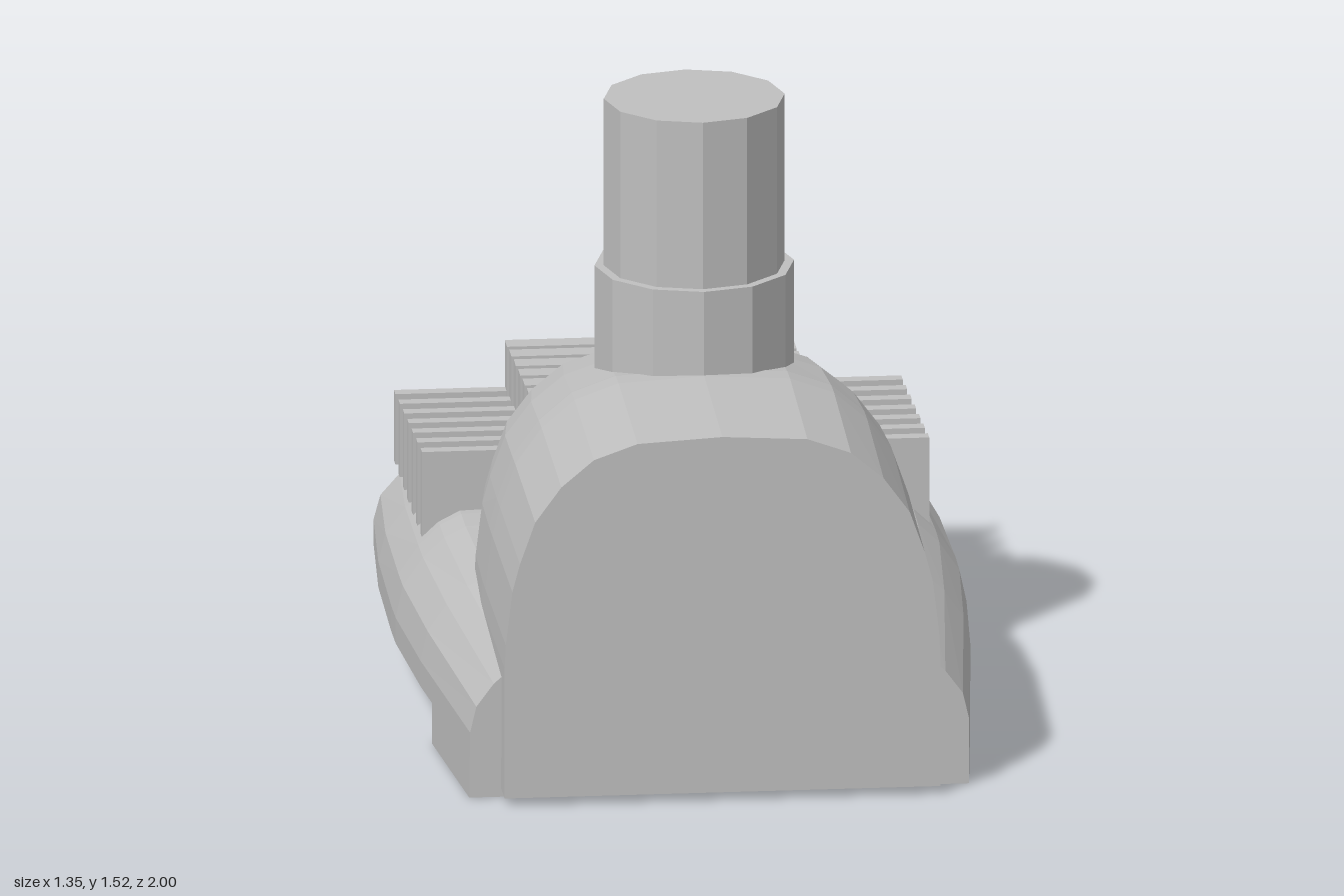
import * as THREE from 'three';

const grey = new THREE.MeshStandardMaterial({ color: 0xbfbfbf });

// Flat-faceted geometry from a list of triangle corners
function facets(points) {
  const geo = new THREE.BufferGeometry();
  geo.setAttribute('position', new THREE.Float32BufferAttribute(points.flat(), 3));
  geo.computeVertexNormals();
  return geo;
}

// Skin over closed rings ordered front to back, each counterclockwise seen from the front
function loft(rings, capBack = true) {
  const tris = [];
  const n = rings[0].length;
  const centre = (r) => {
    const ys = r.map((p) => p[1]);
    return [0, (Math.min(...ys) + Math.max(...ys)) / 2, r[0][2]];
  };
  const first = rings[0], last = rings[rings.length - 1];
  for (let j = 0; j < n; j++) {
    const k = (j + 1) % n;
    for (let i = 0; i < rings.length - 1; i++) {
      const a = rings[i], b = rings[i + 1];
      tris.push(a[j], b[j], b[k], a[j], b[k], a[k]);
    }
    tris.push(centre(first), first[j], first[k]);
    if (capBack) tris.push(centre(last), last[k], last[j]);
  }
  return facets(tris);
}

// Mirror a right-hand half profile (bottom to top centre) into a closed ring
function mirrorRing(half, z) {
  const right = half.map(([x, y]) => [x, y, z]);
  const left = half.slice(0, -1).reverse().map(([x, y]) => [-x, y, z]);
  return [...right, ...left];
}

export function createModel() {
  const model = new THREE.Group();
  const add = (name, geo, x = 0, y = 0, z = 0, parent = model) => {
    const mesh = new THREE.Mesh(geo, grey);
    mesh.name = name;
    mesh.position.set(x, y, z);
    parent.add(mesh);
    return mesh;
  };

  // Arched housing: [z, half width, top height, bottom height]
  const arch = [[1, 0.02], [0.995, 0.12], [0.965, 0.35], [0.93, 0.47], [0.86, 0.65],
    [0.74, 0.8], [0.59, 0.915], [0.39, 0.98], [0, 1]];
  const housing = [[1, 0.515, 0.895, 0.02], [0.56, 0.52, 0.91, 0.02], [0.49, 0.52, 0.907, 0.02],
    [0.48, 0.52, 0.905, 0.15], [0.27, 0.515, 0.88, 0.15], [0.095, 0.49, 0.85, 0.15],
    [-0.035, 0.425, 0.7, 0.15], [-0.11, 0.215, 0.44, 0.15]]
    .map(([z, w, top, low]) => mirrorRing(
      [[w, low], ...arch.map(([fx, t]) => [w * fx, 0.33 + t * (top - 0.33)])], z));
  add('housing', loft(housing));

  // Broad base shell: [z, half width, top height]
  const shoulder = [[1, 0], [0.975, 0.33], [0.905, 0.62], [0.83, 0.82], [0.755, 0.93], [0, 1]];
  const base = [[0.93, 0.59, 0.355], [0.35, 0.65, 0.385], [0, 0.675, 0.4], [-0.1, 0.676, 0.4],
    [-0.45, 0.672, 0.375], [-0.79, 0.65, 0.342], [-0.92, 0.565, 0.31], [-1, 0.36, 0.265]]
    .map(([z, w, top]) => mirrorRing(
      [[w, 0.1], ...shoulder.map(([fx, t]) => [w * fx, 0.163 + t * (top - 0.163)])], z));
  add('baseShell', loft(base, false));

  // Rear face with an arched slot
  const steps = 10;
  const lip = [], root = [], sill = [];
  for (let i = 0; i <= steps; i++) {
    const x = -0.33 + (0.66 * i) / steps;
    lip.push([x, 0.158 + 0.06 * Math.sqrt(Math.max(0, 1 - (x / 0.33) ** 2)), -1]);
    root.push([x * 0.97, 0.162, -0.965]);
    sill.push([x, 0.15, -1]);
  }
  const to2 = ([x, y]) => new THREE.Vector2(x, y);
  const rear = new THREE.Shape(base[base.length - 1].map(to2));
  rear.holes.push(new THREE.Path([...sill, ...lip.slice().reverse()].map(to2)));
  add('rearFace', new THREE.ShapeGeometry(rear).rotateY(Math.PI), 0, 0, -1);
  const slot = [];
  for (let i = 0; i < steps; i++) {
    slot.push(lip[i], lip[i + 1], root[i], lip[i + 1], root[i + 1], root[i]);
    slot.push(sill[i], root[i], sill[i + 1], root[i], root[i + 1], sill[i + 1]);
  }
  add('rearSlot', facets(slot));

  // Foot block under the front
  const foot = [[0.92, 0.591], [0.485, 0.636]].map(([z, w]) =>
    [[w, 0, z], [w, 0.105, z], [-w, 0.105, z], [-w, 0, z]]);
  add('foot', loft(foot));

  // Upright pipe in its collar
  add('collar', facetedCylinder(0.236, 0.365), 0, 0.9325, 0.317);
  add('pipe', facetedCylinder(0.214, 0.5), 0, 1.275, 0.317);

  // Row of seven cooling fins, lowering toward the back
  for (let i = 0; i < 7; i++) {
    const fin = new THREE.Group();
    fin.name = 'fin';
    fin.position.z = -0.15 - i * 0.1067;
    model.add(fin);
    const low = 0.31 - i * 0.0015;
    const mid = 0.64 - i * 0.009 - low;
    const side = 0.528 - i * 0.009 - low;
    add('finCentre', new THREE.BoxGeometry(0.674, mid, 0.055), 0, low + mid / 2, 0, fin);
    for (const s of [-1, 1]) {
      add('finWing', new THREE.BoxGeometry(0.265, side, 0.034), s * 0.4675, low + side / 2, 0, fin);
    }
  }
  return model;
}

// Twelve-sided cylinder with hard facets
function facetedCylinder(radius, height) {
  const geo = new THREE.CylinderGeometry(radius, radius, height, 12).toNonIndexed();
  geo.computeVertexNormals();
  return geo;
}
